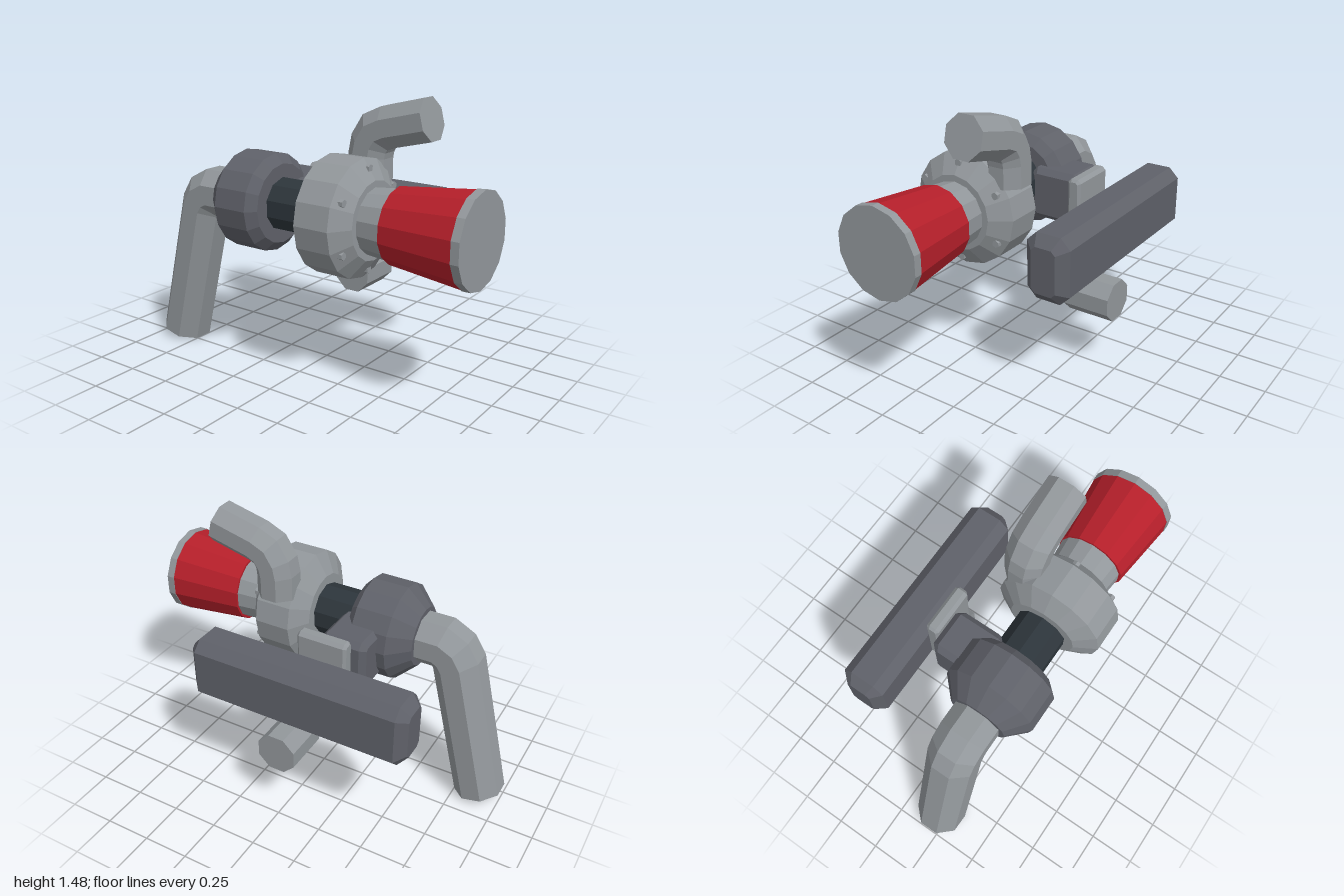
import * as THREE from 'three';

const paint = (name, color) => {
  const m = new THREE.MeshStandardMaterial({ color, flatShading: true });
  m.name = name;
  return m;
};

// Faceted body of revolution along z; profile is [radius, z] from back to front
function turned(profile, sides) {
  const pts = profile.map(([r, z]) => new THREE.Vector2(r, z));
  return new THREE.LatheGeometry(pts, sides).rotateX(Math.PI / 2);
}

// Block along z with cut corners (cut) and bevelled ends (inset, depth)
function bevelledBlock([x0, x1], [y0, y1], [z0, z1], cut, inset, depth) {
  const s = new THREE.Shape();
  s.moveTo(x0 + cut, y0);
  s.lineTo(x1 - cut, y0);
  s.lineTo(x1, y0 + cut);
  s.lineTo(x1, y1 - cut);
  s.lineTo(x1 - cut, y1);
  s.lineTo(x0 + cut, y1);
  s.lineTo(x0, y1 - cut);
  s.lineTo(x0, y0 + cut);
  s.closePath();
  return new THREE.ExtrudeGeometry(s, {
    depth: z1 - z0 - 2 * depth, bevelEnabled: true, bevelSegments: 1,
    bevelSize: inset, bevelOffset: -inset, bevelThickness: depth,
  }).translate(0, 0, z0 + depth);
}

// Capped octagonal pipe following a path of [z, y] points at a fixed x
function bentPipe(x, path, radius) {
  const n = 8, pos = [], idx = [];
  const p = path.map(([z, y]) => new THREE.Vector3(x, y, z));
  const ex = new THREE.Vector3(1, 0, 0);
  const last = p.length - 1;
  p.forEach((c, i) => {
    const before = p[i].clone().sub(p[Math.max(i - 1, 0)]).normalize();
    const after = p[Math.min(i + 1, last)].clone().sub(p[i]).normalize();
    const t = before.clone().add(after).normalize();
    const mitre = i > 0 && i < last ? 1 / t.dot(after) : 1;
    const up = t.clone().cross(ex).multiplyScalar(mitre);
    for (let j = 0; j < n; j++) {
      const a = ((j + 0.5) / n) * Math.PI * 2;
      const v = c.clone().addScaledVector(ex, radius * Math.cos(a)).addScaledVector(up, radius * Math.sin(a));
      pos.push(v.x, v.y, v.z);
    }
  });
  for (let i = 0; i < last; i++) {
    for (let j = 0; j < n; j++) {
      const a = i * n + j, b = i * n + ((j + 1) % n);
      idx.push(a, b, b + n, a, b + n, a + n);
    }
  }
  const e = last * n;
  for (let j = 1; j < n - 1; j++) idx.push(0, j + 1, j, e, e + j, e + j + 1);
  const g = new THREE.BufferGeometry();
  g.setAttribute('position', new THREE.Float32BufferAttribute(pos, 3));
  g.setIndex(idx);
  g.computeVertexNormals();
  return g;
}

export function createModel() {
  const model = new THREE.Group();
  model.name = 'turbocharger';
  const steel = paint('light steel', 0x92979b);
  const iron = paint('dark iron', 0x5f6169);
  const black = paint('blackened steel', 0x2d353b);
  const red = paint('red hose', 0xb51f2a);

  const add = (name, geometry, material, parent = model) => {
    const mesh = new THREE.Mesh(geometry, material);
    mesh.name = name;
    parent.add(mesh);
    return mesh;
  };

  // Everything on the main shaft line
  const core = new THREE.Group();
  core.name = 'rotatingAssembly';
  core.position.set(-0.2, 0.905, 0);
  model.add(core);

  add('compressorHousing', turned([[0, 0.1], [0.19, 0.1], [0.302, 0.165], [0.302, 0.36], [0.2, 0.43], [0, 0.43]], 16), steel, core);
  add('turbineHousing', turned([[0, -0.48], [0.16, -0.48], [0.26, -0.375], [0.26, -0.18], [0.21, -0.135], [0, -0.135]], 16), iron, core);
  add('bearingHousing', turned([[0.14, -0.16], [0.14, 0.13]], 10), black, core);
  add('intakePipe', turned([[0.165, 0.41], [0.18, 0.57]], 14), steel, core);
  add('intakeHose', turned([[0, 0.562], [0.192, 0.562], [0.234, 0.96], [0, 0.96]], 14), red, core);
  add('intakeRim', turned([[0, 0.958], [0.237, 0.958], [0.237, 1], [0, 1]], 14), steel, core);

  // Six bolts on the sloped front of the compressor
  for (let i = 0; i < 6; i++) {
    const a = Math.PI / 6 + (i * Math.PI) / 3;
    const bolt = add('compressorBolt', new THREE.CylinderGeometry(0.02, 0.02, 0.05, 6).rotateX(Math.PI / 2), steel, core);
    bolt.position.set(0.255 * Math.cos(a), 0.255 * Math.sin(a), 0.376);
  }

  // Bent pipes
  add('exhaustPipe', bentPipe(-0.2, [[-0.44, 0.905], [-0.59, 0.905], [-0.647, 0.875], [-0.682, 0.82], [-0.876, 0.037]], 0.138), steel);
  add('outletPipe', bentPipe(0.01, [[0.265, 1.06], [0.265, 1.18], [0.277, 1.24], [0.315, 1.3], [0.38, 1.33], [0.608, 1.387]], 0.114), steel);

  // Side flange, gasket plate and manifold
  add('turbineInlet', bevelledBlock([-0.1, 0.19], [0.728, 1.013], [-0.33, -0.077], 0.032, 0.03, 0.03), iron);
  add('flangePlate', bevelledBlock([0.19, 0.264], [0.685, 1.036], [-0.265, 0.01], 0.018, 0.014, 0.014), steel);
  add('manifold', bevelledBlock([0.26, 0.5], [0.6, 0.948], [-0.7, 0.52], 0.053, 0.053, 0.05), iron);

  // Octagonal stub below the manifold
  const stub = add('lowerStub', new THREE.CylinderGeometry(0.114, 0.114, 0.26, 8).rotateY(Math.PI / 8).rotateZ(Math.PI / 2), steel);
  stub.position.set(0.37, 0.425, 0);

  return model;
}
